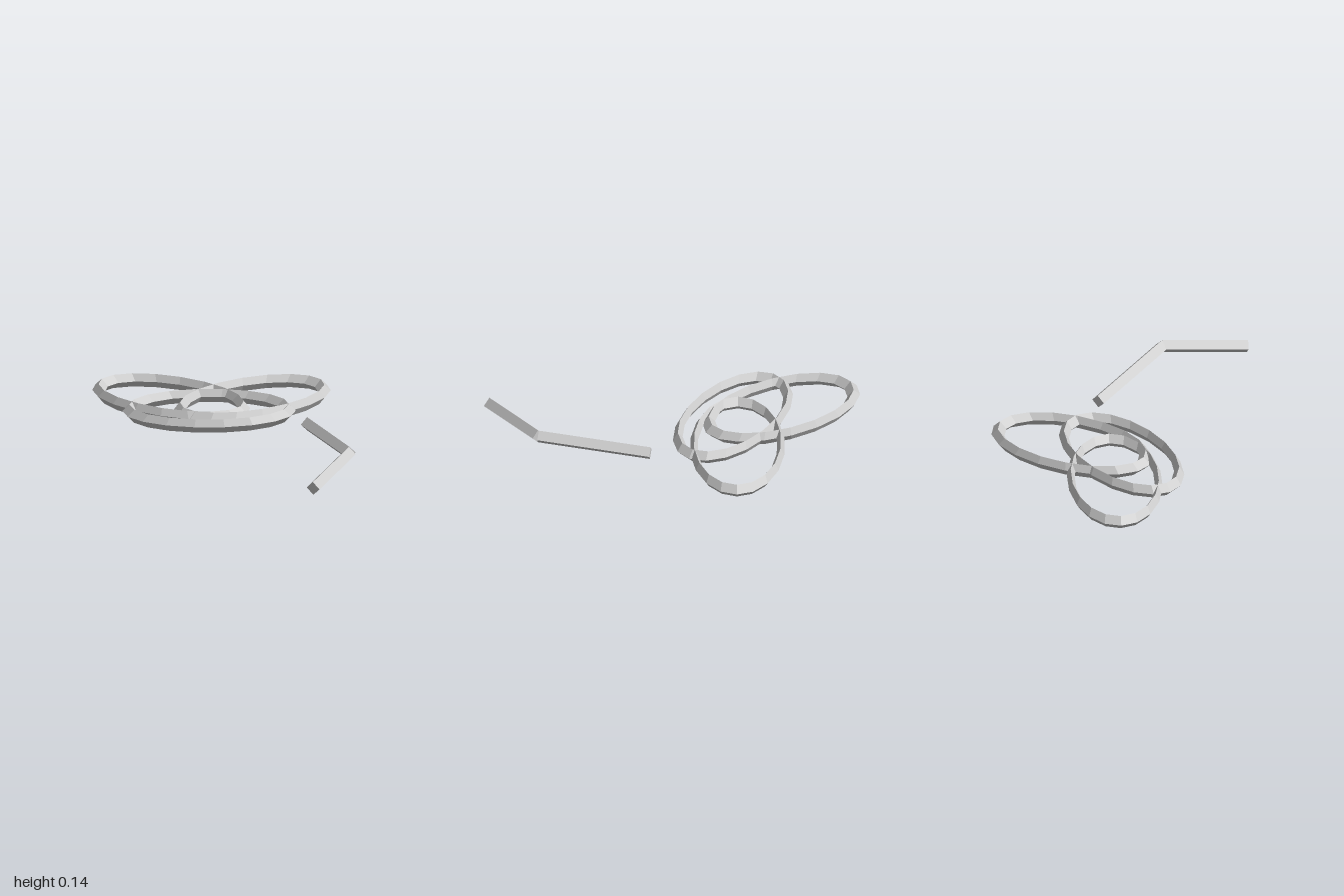
import * as THREE from 'three';

const material = new THREE.MeshStandardMaterial({ color: 0xcccccc, flatShading: true });
const R = 0.045; // half-thickness of every band and bar

// Elongated loop with a diamond section, lying flat and turned about y
function loop(name, x, z, degrees) {
  const geo = new THREE.TorusGeometry(0.51, R, 4, 18);
  geo.rotateX(Math.PI / 2);
  geo.scale(1, 1, 0.55);
  const mesh = new THREE.Mesh(geo, material);
  mesh.name = name;
  mesh.position.set(x, R, z);
  mesh.rotation.y = THREE.MathUtils.degToRad(degrees);
  return mesh;
}

// Straight bar with a diamond section between two points
function bar(name, from, to) {
  const geo = new THREE.CylinderGeometry(R, R, from.distanceTo(to), 4);
  geo.rotateX(Math.PI / 2);
  const mesh = new THREE.Mesh(geo, material);
  mesh.name = name;
  mesh.position.copy(from).lerp(to, 0.5);
  mesh.lookAt(to);
  return mesh;
}

export function createModel() {
  const model = new THREE.Group();
  model.name = 'ropeCoil';

  // Three overlapping loops of the coil
  model.add(
    loop('frontLoop', -0.119, -0.376, 5),
    loop('rightLoop', -0.378, -0.571, -25),
    loop('leftLoop', 0.14, -0.595, 35),
  );

  // Loose end: two bars meeting at a raised elbow
  const elbow = new THREE.Vector3(0.847, 0.098, 0.465);
  model.add(
    bar('innerTail', new THREE.Vector3(0.526, 0.046, -0.186), elbow),
    bar('outerTail', elbow, new THREE.Vector3(0.656, 0.046, 0.983)),
  );
  return model;
}
